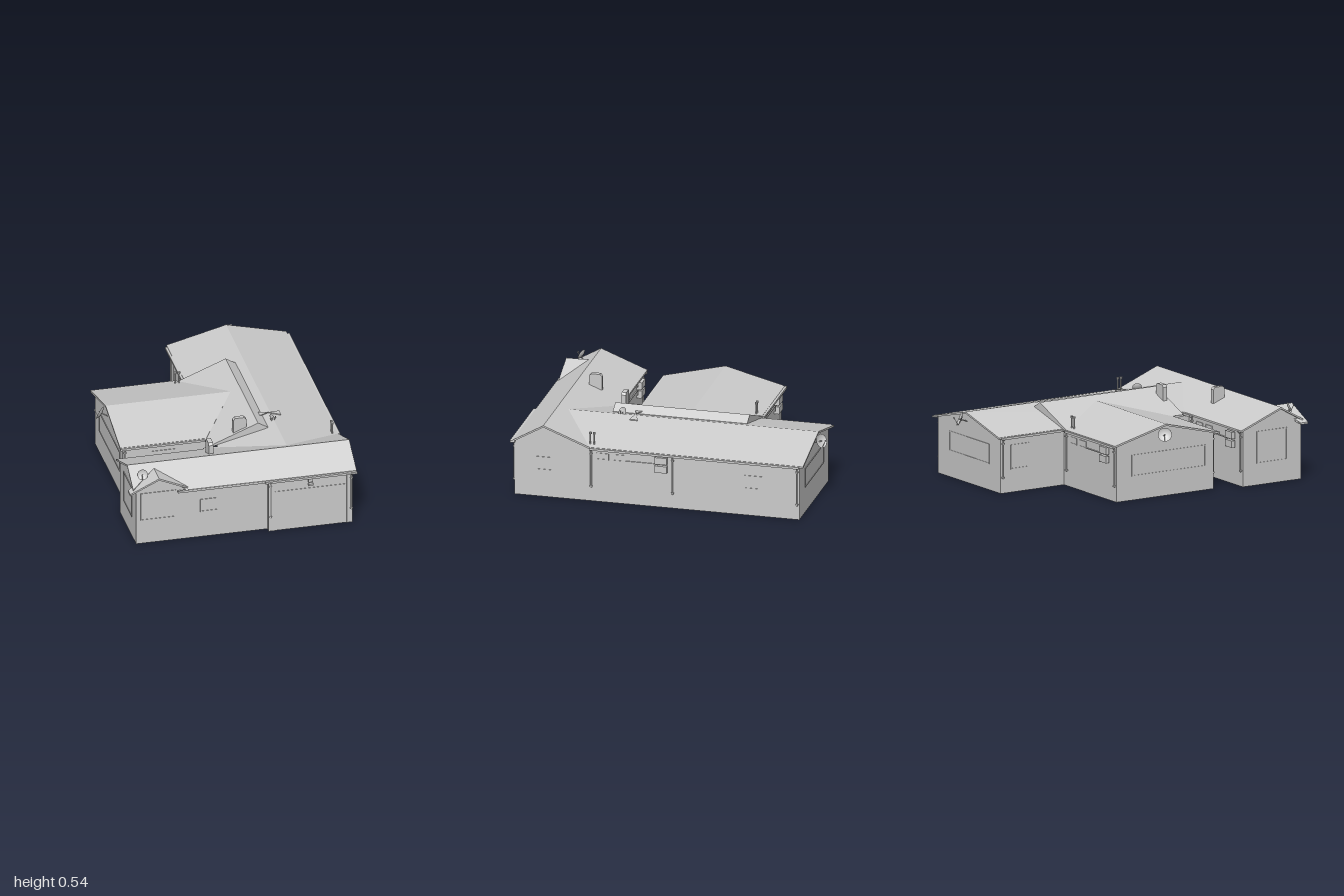
import * as THREE from 'three';

const mat = new THREE.MeshStandardMaterial({ color: 0xcccccc, flatShading: true, side: THREE.DoubleSide });
const smooth = new THREE.MeshStandardMaterial({ color: 0xcccccc, side: THREE.DoubleSide });

function add(parent, geo, name, x = 0, y = 0, z = 0, m = mat) {
  const mesh = new THREE.Mesh(geo, m);
  mesh.name = name;
  mesh.position.set(x, y, z);
  parent.add(mesh);
  return mesh;
}
// box from min and max corners
function block(parent, name, x0, x1, y0, y1, z0, z1) {
  return add(parent, new THREE.BoxGeometry(x1 - x0, y1 - y0, z1 - z0), name,
    (x0 + x1) / 2, (y0 + y1) / 2, (z0 + z1) / 2);
}
// flat polygon as a fan around its first corner
function fan(pts) {
  const out = [];
  for (let i = 1; i < pts.length - 1; i++) out.push(...pts[0], ...pts[i], ...pts[i + 1]);
  return out;
}
function geometry(positions) {
  const g = new THREE.BufferGeometry();
  g.setAttribute('position', new THREE.Float32BufferAttribute(positions, 3));
  g.computeVertexNormals();
  return g;
}
// roof slab: polygon with a thickness below it
function slab(parent, name, pts, t = 0.012) {
  let area = 0;
  pts.forEach((p, i) => {
    const q = pts[(i + 1) % pts.length];
    area += p[2] * q[0] - p[0] * q[2];
  });
  if (area < 0) pts = [pts[0], ...pts.slice(1).reverse()];
  const low = pts.map(([x, y, z]) => [x, y - t, z]);
  const out = [...fan(pts), ...fan([low[0], ...low.slice(1).reverse()])];
  pts.forEach((p, i) => {
    const j = (i + 1) % pts.length;
    out.push(...fan([p, low[i], low[j], pts[j]]));
  });
  add(parent, geometry(out), name);
}
// local frame on a wall: x along it, z outwards
function onWall(parent, name, x, z, turn) {
  const g = new THREE.Group();
  g.name = name;
  g.position.set(x, 0, z);
  g.rotation.y = turn;
  parent.add(g);
  return g;
}
// window with a raised frame around a pane
function windowAt(wall, u0, u1, y0, y1) {
  const f = 0.006;
  block(wall, 'windowPane', u0 + f, u1 - f, y0 + f, y1 - f, -0.004, 0.001);
  for (const y of [y0, y1 - f]) block(wall, 'windowFrame', u0, u1, y, y + f, -0.004, 0.004);
  for (const u of [u0, u1 - f]) block(wall, 'windowFrame', u, u + f, y0, y1, -0.004, 0.004);
}
function downpipe(wall, u, y0 = 0.095) {
  add(wall, new THREE.CylinderGeometry(0.005, 0.005, 0.345 - y0, 8), 'downpipe', u, (0.345 + y0) / 2, 0.008);
  const elbow = add(wall, new THREE.CylinderGeometry(0.005, 0.005, 0.035, 8), 'downpipeElbow', u, 0.354, 0.018);
  elbow.rotation.x = 0.9;
  for (const y of [y0 + 0.005, 0.32]) block(wall, 'pipeBracket', u - 0.008, u + 0.008, y, y + 0.008, 0, 0.015);
}
// small high windows, two cooling units and their pipe
function services(wall, u) {
  windowAt(wall, u - 0.04, u + 0.04, 0.285, 0.33);
  windowAt(wall, u + 0.07, u + 0.15, 0.285, 0.33);
  for (const y of [0.245, 0.302]) {
    block(wall, 'coolingUnit', u + 0.35, u + 0.43, y, y + 0.045, 0.01, 0.036);
    block(wall, 'unitBracket', u + 0.35, u + 0.36, y - 0.005, y + 0.012, 0, 0.03);
  }
  block(wall, 'coolingPipe', u + 0.15, u + 0.35, 0.287, 0.293, 0, 0.007);
}
// roof vent pipes with caps
function ventPipe(parent, x, z) {
  add(parent, new THREE.CylinderGeometry(0.005, 0.005, 0.1, 8), 'ventPipe', x, 0.405, z);
  add(parent, new THREE.CylinderGeometry(0.009, 0.009, 0.012, 8), 'ventCap', x, 0.455, z);
}
// satellite dish: concave bowl, feed arm and mount
function dish(parent, x, y, z, r, yaw, pitch, drop, back) {
  const g = new THREE.Group();
  g.name = 'satelliteDish';
  g.position.set(x, y, z);
  g.rotation.set(-pitch, yaw, 0, 'YXZ');
  const R = r / Math.sin(0.6);
  const bowl = new THREE.SphereGeometry(R, 18, 4, 0, Math.PI * 2, 0, 0.6);
  bowl.translate(0, -R * Math.cos(0.6), 0).rotateX(-Math.PI / 2);
  add(g, bowl, 'dishBowl', 0, 0, 0, smooth);
  const arm = add(g, new THREE.CylinderGeometry(0.002, 0.002, r * 1.2, 6), 'feedArm', 0, -r * 0.5, r * 0.3);
  arm.rotation.x = 0.9;
  block(g, 'feedHorn', -0.005, 0.005, -r * 0.2, -r * 0.2 + 0.008, r * 0.7, r * 0.9);
  parent.add(g);
  const start = new THREE.Vector3(x, y, z);
  const end = start.clone().add(new THREE.Vector3(back[0], -drop, back[1]));
  add(parent, new THREE.TubeGeometry(new THREE.LineCurve3(start, end), 1, 0.004, 6), 'dishMount');
}

export function createModel() {
  const house = new THREE.Group();
  house.name = 'house';
  const H = 0.365;

  // outer walls, open underneath
  const wall = (name, ...pts) => add(house, geometry(fan(pts)), name);
  const plain = (name, x0, z0, x1, z1, h = H) =>
    wall(name, [x0, 0, z0], [x1, 0, z1], [x1, h, z1], [x0, h, z0]);
  wall('rightWall', [0.705, 0, 0.965], [0.705, 0, -0.905], [0.705, H, -0.905], [0.705, H, 0.5],
    [0.705, 0.48, 0.775], [0.705, 0.37, 0.965]);
  wall('backGableWall', [0.705, 0, -0.905], [-0.03, 0, -0.905], [-0.03, H, -0.905], [0.335, 0.46, -0.905], [0.705, H, -0.905]);
  plain('rearSideWall', -0.03, -0.905, -0.03, -0.425);
  plain('leftWingBackWall', -0.03, -0.425, -0.645, -0.425);
  wall('leftWingGableWall', [-0.645, 0, -0.425], [-0.645, 0, 0.31], [-0.645, H, 0.31], [-0.645, 0.462, -0.06], [-0.645, H, -0.425]);
  plain('leftWingFrontWall', -0.645, 0.31, -0.075, 0.31);
  plain('passageWall', -0.075, 0.31, -0.075, 0.495);
  plain('frontWingBackWall', -0.075, 0.495, -0.705, 0.495);
  wall('frontWingLeftGable', [-0.705, 0, 0.495], [-0.705, 0, 0.935], [-0.705, 0.385, 0.935], [-0.705, 0.48, 0.775], [-0.705, H, 0.495]);
  wall('bayWall', [-0.705, 0, 0.935], [-0.41, 0, 0.935], [-0.41, 0.385, 0.935], [-0.56, 0.455, 0.935], [-0.705, 0.387, 0.935]);
  plain('frontWall', -0.41, 0.935, 0.155, 0.935, 0.385);
  plain('garageReturn', 0.155, 0.935, 0.155, 0.965);
  plain('garageWall', 0.155, 0.965, 0.705, 0.965);

  // front wing roof with the small bay gable cut into it
  const fy = z => 0.49 - 0.575 * (z - 0.775);
  const fp = (x, z) => [x, fy(z), z];
  slab(house, 'frontRoof', [fp(-0.56, 0.815), fp(-0.37, 0.96), fp(-0.37, 0.978), fp(0.73, 0.978), fp(0.73, 0.775),
    fp(-0.725, 0.775), fp(-0.725, 0.94)]);
  slab(house, 'frontRoofRear', [[-0.725, 0.49, 0.775], [0.73, 0.49, 0.775], [0.73, 0.372, 0.47], [-0.725, 0.372, 0.47]]);
  slab(house, 'bayRoofLeft', [[-0.56, 0.467, 0.815], [-0.56, 0.467, 0.962], [-0.75, 0.377, 0.962], [-0.75, 0.377, 0.905], [-0.69, 0.405, 0.905]]);
  slab(house, 'bayRoofRight', [[-0.56, 0.467, 0.815], [-0.56, 0.467, 0.962], [-0.365, 0.382, 0.962]]);

  // main wing roof, running into the front wing in a valley
  for (const [name, x] of [['mainRoofLeft', -0.055], ['mainRoofRight', 0.73]])
    slab(house, name, [[0.335, 0.47, -0.935], [0.335, 0.466, 0.715], [x, 0.372, 0.47], [x, 0.372, -0.935]]);

  // left wing roof and the raised cross roof it meets
  for (const [name, z] of [['leftWingRoofBack', -0.45], ['leftWingRoofFront', 0.335]])
    slab(house, name, [[-0.665, 0.471, -0.06], [0.155, 0.471, -0.06], [-0.1, 0.372, z], [-0.665, 0.372, z]]);
  const cross = new THREE.Shape([[-0.1, 0.36], [0.28, 0.44], [0.28, 0.457], [0.215, 0.495], [-0.1, 0.37]]
    .map(p => new THREE.Vector2(...p)));
  add(house, new THREE.ExtrudeGeometry(cross, { depth: 0.885, bevelEnabled: false }), 'crossRoof', 0, 0, -0.45);

  // gutters
  const gutter = (x0, x1, z0, z1) => block(house, 'gutter', x0, x1, 0.356, 0.37, z0, z1);
  gutter(0.728, 0.745, -0.91, 0.47);
  gutter(-0.07, -0.053, -0.915, -0.45);
  gutter(-0.665, -0.1, -0.465, -0.448);
  gutter(-0.665, -0.1, 0.333, 0.349);
  gutter(-0.112, -0.098, 0.333, 0.43);
  gutter(-0.15, -0.05, 0.452, 0.47);
  gutter(-0.44, 0.13, 0.965, 0.98);
  gutter(0.13, 0.73, 0.965, 0.995);

  // front: bay window, window, garage
  const front = onWall(house, 'frontDetails', 0, 0.935, 0);
  windowAt(front, -0.675, -0.445, 0.165, 0.36);
  windowAt(front, -0.285, -0.17, 0.18, 0.27);
  const garage = onWall(house, 'garageDetails', 0, 0.965, 0);
  block(garage, 'garagePost', 0.155, 0.195, 0, H, -0.03, 0.006);
  block(garage, 'garageDoor', 0.198, 0.665, 0, 0.28, -0.004, 0.003);
  block(garage, 'garagePost', 0.667, 0.705, 0, H, -0.01, 0.006);
  block(garage, 'lampBase', 0.415, 0.445, 0.325, 0.355, 0, 0.012);
  block(garage, 'lamp', 0.415, 0.445, 0.302, 0.315, 0, 0.02);
  for (const u of [0.167, 0.697]) downpipe(garage, u);

  // right wall
  const right = onWall(house, 'rightDetails', 0.705, 0, Math.PI / 2);
  windowAt(right, -0.84, -0.72, 0.18, 0.27);
  windowAt(right, 0.545, 0.66, 0.18, 0.27);
  services(right, -0.39);
  for (const u of [-0.465, 0.07, 0.89]) downpipe(right, u);

  // back and left walls
  const back = onWall(house, 'backDetails', 0, -0.905, Math.PI);
  windowAt(back, -0.57, -0.1, 0.17, 0.3);
  const rearSide = onWall(house, 'rearSideDetails', -0.03, 0, -Math.PI / 2);
  windowAt(rearSide, -0.83, -0.69, 0.15, 0.31);
  downpipe(rearSide, -0.89);
  const wingBack = onWall(house, 'leftWingBackDetails', 0, -0.425, Math.PI);
  services(wingBack, 0.145);
  for (const u of [0.07, 0.63]) downpipe(wingBack, u);
  const wingEnd = onWall(house, 'leftWingEndDetails', -0.645, 0, -Math.PI / 2);
  windowAt(wingEnd, -0.31, 0.25, 0.155, 0.295);
  const bayEnd = onWall(house, 'frontWingEndDetails', -0.705, 0, -Math.PI / 2);
  windowAt(bayEnd, 0.6, 0.83, 0.14, 0.35);
  const passage = onWall(house, 'passageDetails', 0, 0.495, Math.PI);
  services(passage, 0.2);
  for (const u of [0.12, 0.69]) downpipe(passage, u);
  const wingFront = onWall(house, 'leftWingFrontDetails', 0, 0.31, 0);
  windowAt(wingFront, -0.45, -0.3, 0.15, 0.31);
  downpipe(wingFront, -0.63);

  // chimneys with chamfered tops
  const c = new THREE.Shape([[-0.043, 0.1], [0.043, 0.1], [0.043, 0.52], [0.03, 0.535], [-0.03, 0.535], [-0.043, 0.52]]
    .map(p => new THREE.Vector2(...p)));
  const stack = new THREE.ExtrudeGeometry(c, { depth: 0.03, bevelEnabled: false }).translate(0, 0, -0.015);
  add(house, stack, 'chimney', 0.1, 0, 0.4);
  add(house, stack, 'chimney', -0.158, 0, 0.66).rotation.y = Math.PI / 2;

  // vents, aerial plate and dishes
  for (const [x, z] of [[0.69, 0.45], [0.69, 0.475], [-0.125, -0.41], [-0.1, -0.41]]) ventPipe(house, x, z);
  slab(house, 'roofFlashing', [[0.32, 0.474, 0.27], [0.25, 0.468, 0.24], [0.25, 0.468, 0.295]], 0.006);
  slab(house, 'roofFlashing', [[0.32, 0.474, 0.27], [0.4, 0.46, 0.24], [0.4, 0.46, 0.295]], 0.006);
  dish(house, -0.65, 0.467, 0.885, 0.034, -0.35, 0.4, 0.05, [0, -0.01]);
  dish(house, -0.695, 0.41, -0.09, 0.045, -2.2, 0.4, 0.03, [0.05, 0]);
  dish(house, 0.365, 0.42, -0.962, 0.046, Math.PI - 0.5, 0.4, 0.02, [0, 0.057]);
  dish(house, 0.325, 0.478, 0.36, 0.03, 1.1, 0.5, 0.02, [0, 0]);

  return house;
}
